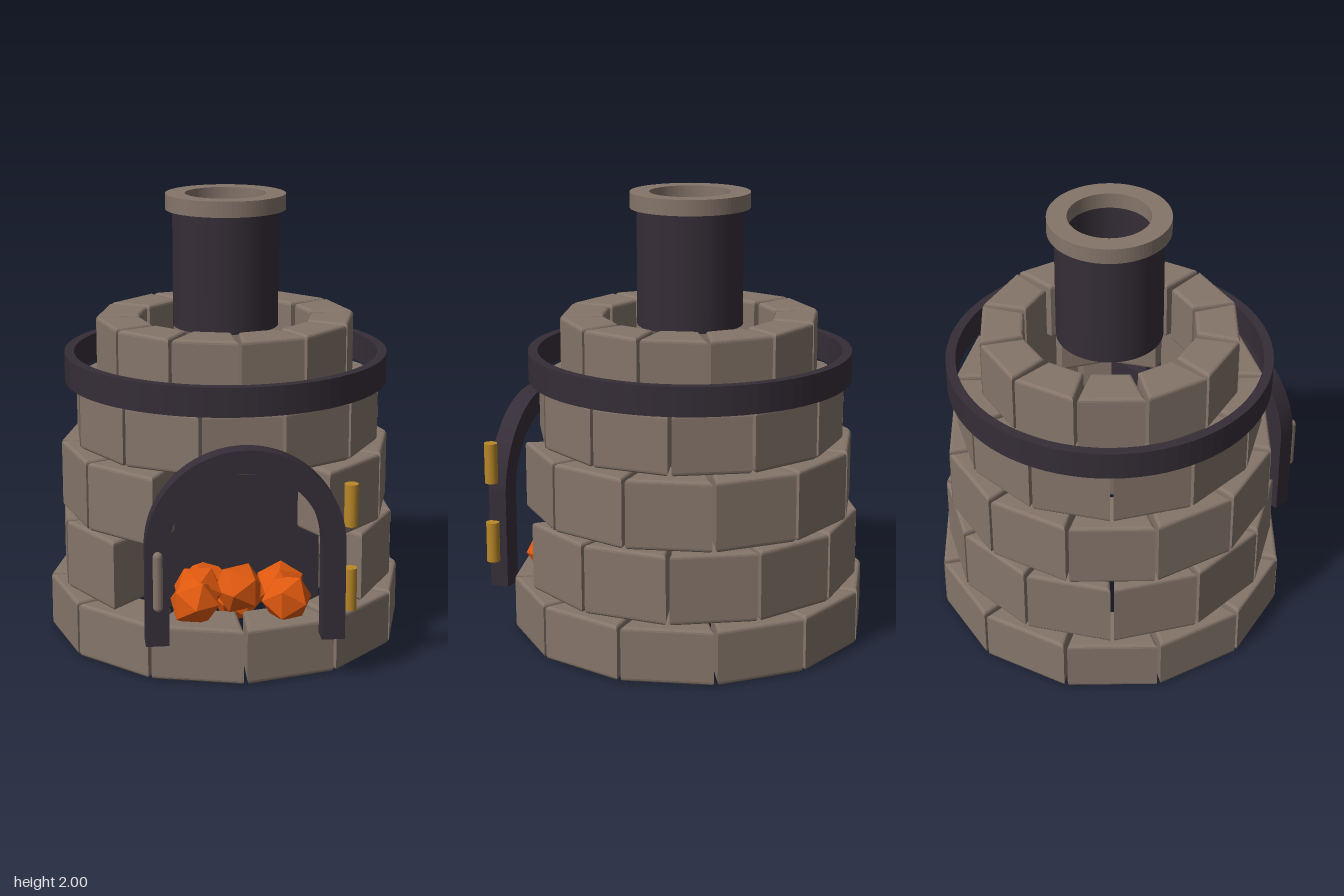
import * as THREE from 'three';

const stone = new THREE.MeshStandardMaterial({ color: 0x85756a, name: 'stone' });
const iron = new THREE.MeshStandardMaterial({ color: 0x352d37, name: 'iron' });
const ember = new THREE.MeshStandardMaterial({ color: 0xe0590f, name: 'ember', flatShading: true });
const brass = new THREE.MeshStandardMaterial({ color: 0xb98728, name: 'brass' });

const BRICKS = 12;
const STEP = (Math.PI * 2) / BRICKS;

function add(parent, name, geometry, material, x = 0, y = 0, z = 0) {
  const mesh = new THREE.Mesh(geometry, material);
  mesh.name = name;
  mesh.position.set(x, y, z);
  parent.add(mesh);
  return mesh;
}

// Wedge-shaped brick with softened edges, facing +z
function brickGeometry(outer, inner, y0, y1) {
  const b = 0.016, gap = 0.011, s = Math.sin(STEP / 2), c = Math.cos(STEP / 2);
  const wo = outer * s - gap - b, wi = inner * s - gap - b;
  const shape = new THREE.Shape([
    new THREE.Vector2(-wo, -outer * c + b),
    new THREE.Vector2(wo, -outer * c + b),
    new THREE.Vector2(wi, -inner * c - b),
    new THREE.Vector2(-wi, -inner * c - b),
  ]);
  const g = new THREE.ExtrudeGeometry(shape, {
    depth: y1 - y0 - 2 * b, bevelEnabled: true, bevelSize: b, bevelThickness: b, bevelSegments: 3,
  });
  g.rotateX(-Math.PI / 2);
  g.translate(0, y0 + b, 0);
  return g;
}

// Ring of rectangular section turned around the y axis
function ringGeometry(outer, inner, y0, y1) {
  const wall = (r0, h0, r1, h1) => [new THREE.Vector2(r0, h0), new THREE.Vector2(r1, h1)];
  const shape = new THREE.Shape().absarc(0, 0, outer, 0, Math.PI * 2);
  shape.holes.push(new THREE.Path().absarc(0, 0, inner, 0, Math.PI * 2, true));
  const g = new THREE.ExtrudeGeometry(shape, { depth: y1 - y0, bevelEnabled: false, curveSegments: 40 });
  g.rotateX(-Math.PI / 2);
  g.translate(0, y0, 0);
  return g;
}

export function createModel() {
  const model = new THREE.Group();
  model.name = 'stoneFurnace';

  const body = new THREE.Group();
  body.name = 'body';
  body.position.z = -0.045;
  model.add(body);

  // Staggered courses; "opening" is the half angle left free for the mouth
  const courses = [
    { outer: 0.81, inner: 0.57, y0: 0.005, y1: 0.252, phase: 0.5, opening: 0 },
    { outer: 0.765, inner: 0.53, y0: 0.26, y1: 0.572, phase: 0, opening: 45 },
    { outer: 0.75, inner: 0.52, y0: 0.58, y1: 0.89, phase: 0.5, opening: 30 },
    { outer: 0.695, inner: 0.47, y0: 0.898, y1: 1.165, phase: 0, opening: 0 },
    { outer: 0.585, inner: 0.39, y0: 1.175, y1: 1.457, phase: 0.5, opening: 0 },
  ];
  courses.forEach((c, row) => {
    const course = new THREE.Group();
    course.name = `brickCourse${row + 1}`;
    body.add(course);
    const geometry = brickGeometry(c.outer, c.inner, c.y0, c.y1);
    for (let i = 0; i < BRICKS; i++) {
      let angle = (i + c.phase) * STEP;
      if (angle > Math.PI) angle -= Math.PI * 2;
      if (Math.abs(angle) < THREE.MathUtils.degToRad(c.opening)) continue;
      add(course, 'brick', geometry, stone).rotation.y = angle;
    }
  });

  // Hoop, chimney pipe and its rim
  add(body, 'ironHoop', ringGeometry(0.725, 0.682, 1.168, 1.297), iron);
  add(body, 'chimneyPipe', ringGeometry(0.236, 0.182, 1.41, 1.93), iron);
  add(body, 'chimneyRim', ringGeometry(0.267, 0.18, 1.93, 2.0), stone);

  // Arched door frame
  const arch = new THREE.Shape();
  arch.moveTo(0.425, 0.2);
  arch.lineTo(0.425, 0.625);
  arch.absarc(0, 0.625, 0.425, 0, Math.PI, false);
  arch.lineTo(-0.425, 0.2);
  arch.lineTo(-0.325, 0.2);
  arch.lineTo(-0.325, 0.625);
  arch.absarc(0, 0.625, 0.325, Math.PI, 0, true);
  arch.lineTo(0.325, 0.2);
  const frame = new THREE.ExtrudeGeometry(arch, { depth: 0.085, bevelEnabled: false, curveSegments: 24 });
  add(model, 'doorFrame', frame, iron, 0, 0, 0.68);

  // Hinges and handle
  for (const y of [0.42, 0.792]) {
    add(model, 'hinge', new THREE.CylinderGeometry(0.03, 0.03, 0.185, 20), brass, 0.447, y, 0.738);
  }
  add(model, 'doorHandle', new THREE.CapsuleGeometry(0.021, 0.222, 4, 10), stone, -0.376, 0.508, 0.818);

  // Back plate of the fire chamber
  add(model, 'firePlate', new THREE.BoxGeometry(0.74, 0.68, 0.05), iron, 0, 0.565, 0.345);

  // Glowing coals
  const coals = [
    [-0.18, 0.35, 0.5], [0, 0.35, 0.5], [0.18, 0.35, 0.5],
    [-0.2, 0.32, 0.57], [0.2, 0.32, 0.57],
    [0, 0.28, 0.43], [-0.14, 0.33, 0.36],
  ];
  const coalGeometry = new THREE.IcosahedronGeometry(0.115, 0);
  coals.forEach(([x, y, z], i) => {
    add(model, 'coal', coalGeometry, ember, x, y, z).rotation.y = i * 0.7;
  });

  return model;
}
